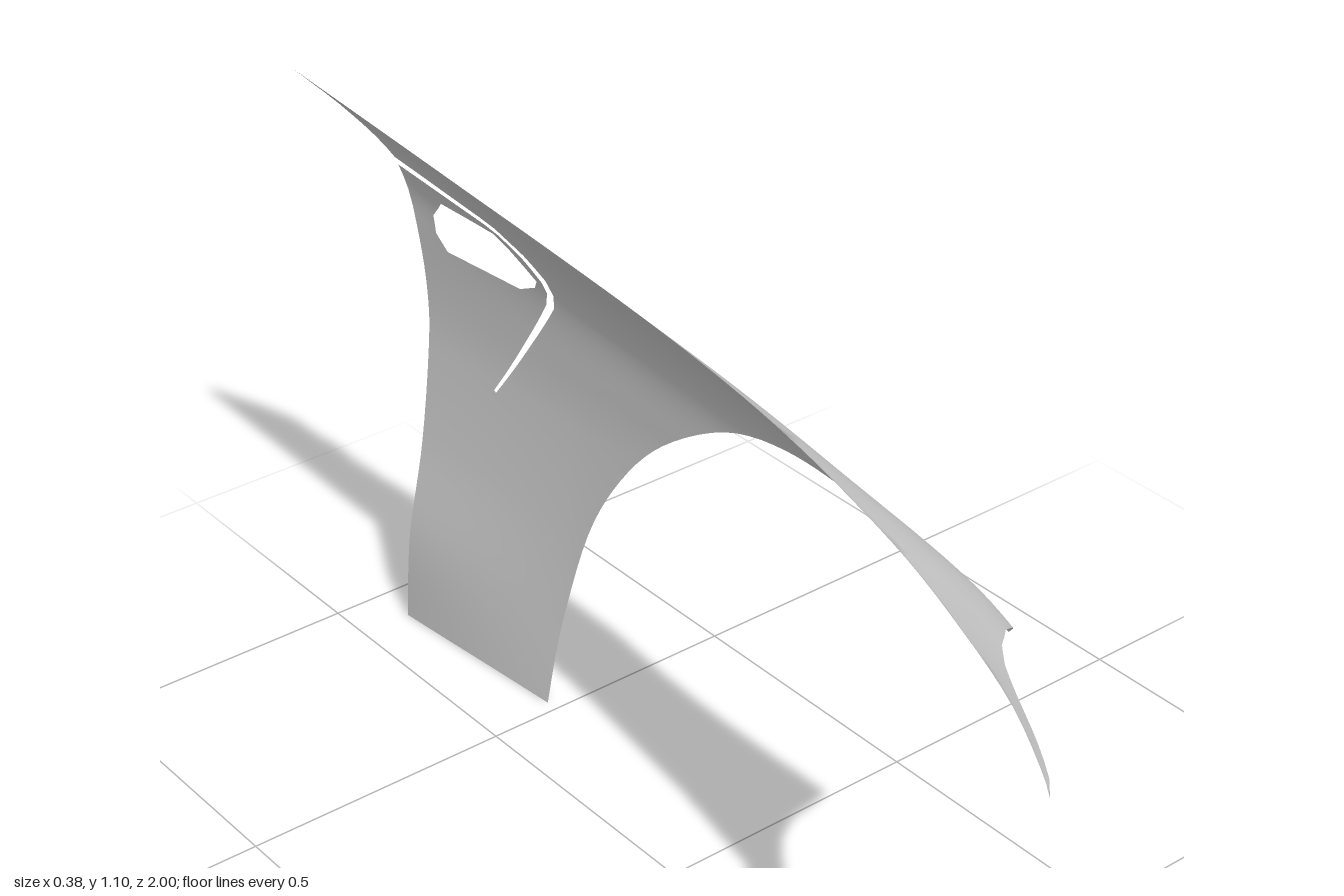
import * as THREE from 'three';

const paint = new THREE.MeshStandardMaterial({ color: 0xcccccc, side: THREE.DoubleSide });
paint.name = 'grey paint';

// Smooth 1D interpolation through (xs, ys), with xs ascending
function smooth(xs, ys, x) {
  const n = xs.length;
  x = Math.min(Math.max(x, xs[0]), xs[n - 1]);
  let i = 0;
  while (i < n - 2 && x > xs[i + 1]) i++;
  const slope = k => {
    const a = Math.max(k - 1, 0), b = Math.min(k + 1, n - 1);
    return (ys[b] - ys[a]) / (xs[b] - xs[a]);
  };
  const h = xs[i + 1] - xs[i], t = (x - xs[i]) / h, t2 = t * t, t3 = t2 * t;
  return (2 * t3 - 3 * t2 + 1) * ys[i] + (t3 - 2 * t2 + t) * h * slope(i)
    + (3 * t2 - 2 * t3) * ys[i + 1] + (t3 - t2) * h * slope(i + 1);
}

// Side outline, as (u, y) with u running rearward (u = -z)
const topEdge = [[-1, 0.842], [-0.968, 0.861], [-0.834, 0.893], [-0.674, 0.941], [-0.46, 0.984],
  [-0.246, 1.016], [0, 1.04], [0.5, 1.072], [1, 1.1]];
const archEdge = [[-0.56, 0.711], [-0.46, 0.754], [-0.353, 0.78], [-0.2, 0.797], [-0.06, 0.786],
  [0.1, 0.738], [0.262, 0.636], [0.37, 0.52], [0.45, 0.374], [0.503, 0.17], [0.524, 0]];
const rearEdge = [[0.914, 0], [0.882, 0.28], [0.861, 0.572], [0.856, 0.68], [0.86, 0.8], [0.877, 0.936]];
const slotInner = [[0.64, 0.914], [0.605, 0.905], [0.56, 0.873], [0.53, 0.84], [0.524, 0.82], [0.535, 0.792], [0.692, 0.56]];
const slotOuter = [[0.687, 0.557], [0.515, 0.793], [0.507, 0.822], [0.515, 0.85], [0.55, 0.888], [0.602, 0.923], [0.64, 0.93]];
const rearTip = [[0.877, 0.952], [0.93, 1.02], [1, 1.1]];
const noseEdge = [[-1, 0.842], [-0.754, 0.848], [-0.71, 0.841], [-0.663, 0.818], [-0.56, 0.711]];
const ventHole = [[0.545, 0.835], [0.556, 0.818], [0.6, 0.797], [0.785, 0.797], [0.81, 0.825],
  [0.81, 0.86], [0.775, 0.897], [0.625, 0.9], [0.594, 0.878]];

// Cross-sections: x at each depth below the top edge, for stations from nose to tail
const depths = [0, 0.06, 0.13, 0.2, 0.28, 0.4, 0.5, 0.7, 0.9, 1.1];
const sections = [
  [-1, [-0.19, -0.14, -0.085, -0.04, 0, 0.03, 0.04, 0.04, 0.04, 0.04]],
  [-0.85, [-0.125, -0.075, -0.02, 0.04, 0.09, 0.12, 0.13, 0.13, 0.13, 0.13]],
  [-0.7, [-0.095, -0.027, 0.05, 0.11, 0.16, 0.18, 0.18, 0.18, 0.17, 0.15]],
  [-0.56, [-0.072, 0.01, 0.085, 0.14, 0.181, 0.19, 0.19, 0.18, 0.17, 0.15]],
  [-0.3, [-0.045, 0.022, 0.085, 0.14, 0.178, 0.19, 0.19, 0.18, 0.17, 0.15]],
  [0, [-0.03, 0.03, 0.09, 0.143, 0.18, 0.19, 0.19, 0.18, 0.165, 0.14]],
  [0.3, [-0.023, 0.03, 0.09, 0.14, 0.175, 0.187, 0.188, 0.177, 0.16, 0.135]],
  [0.5, [-0.02, 0.035, 0.09, 0.135, 0.162, 0.175, 0.178, 0.169, 0.153, 0.131]],
  [0.9, [-0.012, 0.045, 0.095, 0.118, 0.126, 0.135, 0.136, 0.122, 0.098, 0.1]],
  [1, [-0.01, 0.045, 0.09, 0.11, 0.12, 0.125, 0.126, 0.112, 0.09, 0.09]],
];
const stations = sections.map(s => s[0]);
const topU = topEdge.map(p => p[0]), topY = topEdge.map(p => p[1]);

function bodyX(u, y) {
  const depth = smooth(topU, topY, u) - y;
  const row = depths.map((_, k) => smooth(stations, sections.map(s => s[1][k]), u));
  return smooth(depths, row, depth);
}

const vectors = pts => pts.map(p => new THREE.Vector2(p[0], p[1]));
const curved = (pts, n) => new THREE.SplineCurve(vectors(pts)).getPoints(n);

// Cut the flat outline into small triangles, then bend it onto the body surface
function bentPanel(shape, maxEdge) {
  const flat = new THREE.ShapeGeometry(shape);
  const src = flat.attributes.position, idx = flat.index.array;
  const points = [], lookup = new Map(), faces = [];
  const add = (u, y) => {
    const key = u.toFixed(6) + ',' + y.toFixed(6);
    if (!lookup.has(key)) { lookup.set(key, points.length); points.push([u, y]); }
    return lookup.get(key);
  };
  const length = (a, b) => Math.hypot(points[a][0] - points[b][0], points[a][1] - points[b][1]);
  const split = (a, b, c) => {
    const ab = length(a, b), bc = length(b, c), ca = length(c, a);
    if (Math.max(ab, bc, ca) <= maxEdge) { faces.push(a, b, c); return; }
    if (bc >= ab && bc >= ca) return split(b, c, a);
    if (ca >= ab && ca >= bc) return split(c, a, b);
    const m = add((points[a][0] + points[b][0]) / 2, (points[a][1] + points[b][1]) / 2);
    split(a, m, c);
    split(m, b, c);
  };
  for (let i = 0; i < idx.length; i += 3) {
    const [a, b, c] = [0, 1, 2].map(k => add(src.getX(idx[i + k]), src.getY(idx[i + k])));
    if (a !== b && b !== c && c !== a) split(a, b, c);
  }
  const position = [], normal = [], e = 0.004;
  for (const [u, y] of points) {
    position.push(bodyX(u, y), y, -u);
    const du = (bodyX(u + e, y) - bodyX(u - e, y)) / (2 * e);
    const dy = (bodyX(u, y + e) - bodyX(u, y - e)) / (2 * e);
    normal.push(...new THREE.Vector3(1, -dy, du).normalize().toArray());
  }
  const geometry = new THREE.BufferGeometry();
  geometry.setAttribute('position', new THREE.Float32BufferAttribute(position, 3));
  geometry.setAttribute('normal', new THREE.Float32BufferAttribute(normal, 3));
  geometry.setIndex(faces);
  return geometry;
}

export function createModel() {
  const group = new THREE.Group();
  group.name = 'frontFender';

  // Fender skin: nose, wheel arch, rear edge, open vent slot, tail tip, top edge
  const top = [];
  for (let i = 1; i < 60; i++) {
    const u = 1 - i / 30;
    top.push(new THREE.Vector2(u, smooth(topU, topY, u)));
  }
  const outline = new THREE.Shape([
    ...vectors(noseEdge.slice(0, -1)),
    ...curved(archEdge, 50),
    ...curved(rearEdge, 24),
    ...vectors(slotInner),
    ...vectors(slotOuter),
    ...vectors(rearTip),
    ...top,
  ]);
  outline.holes.push(new THREE.Path(vectors(ventHole)));

  const skin = new THREE.Mesh(bentPanel(outline, 0.035), paint);
  skin.name = 'fenderSkin';
  group.add(skin);
  return group;
}
